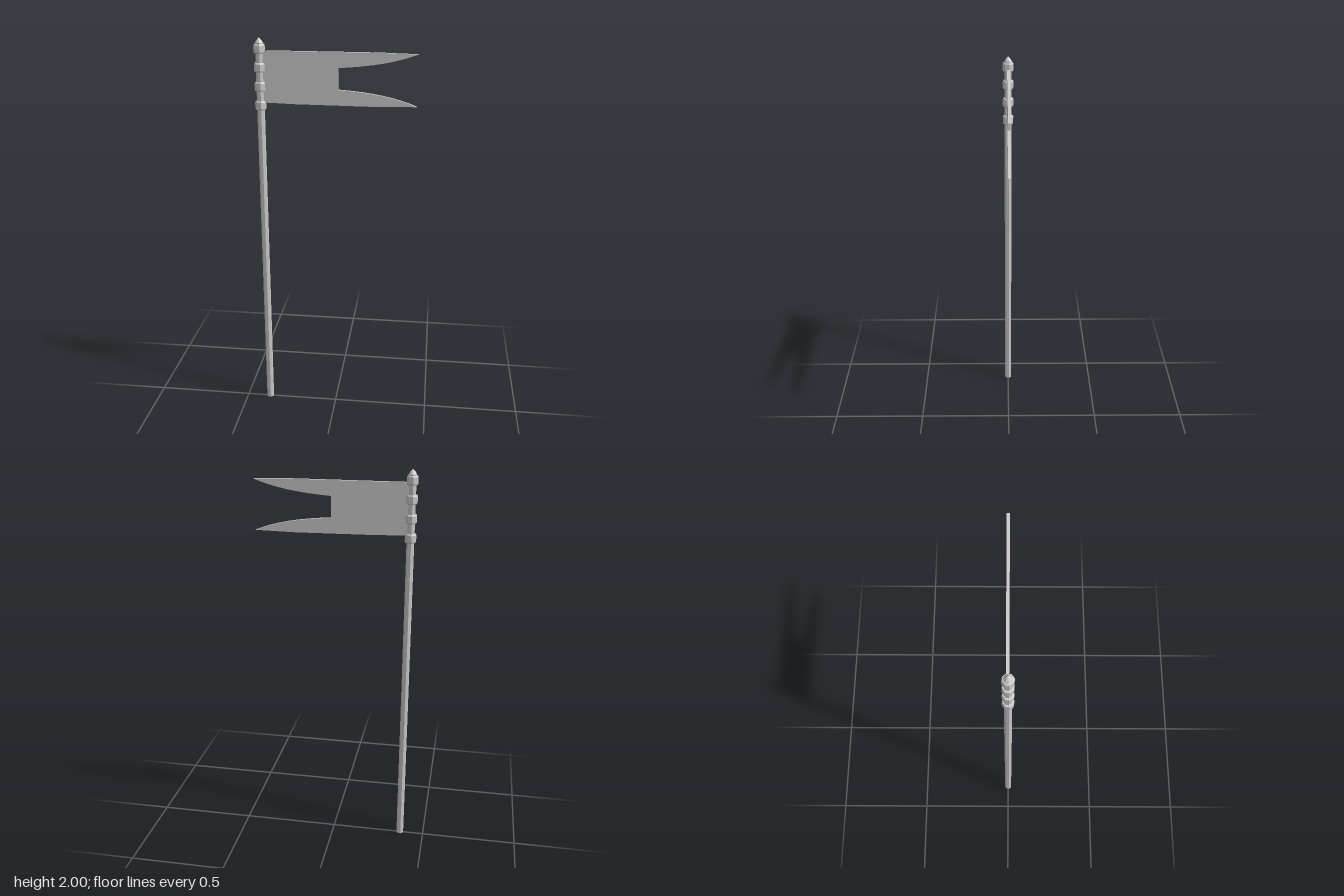
import * as THREE from 'three';

const POLE_X = -0.373;
const SIDES = 8;

export function createModel() {
  const group = new THREE.Group();
  const material = new THREE.MeshStandardMaterial({ color: 0xcccccc, flatShading: true });

  // Turned part around the pole axis, from [radius, height] pairs
  const turned = (name, profile, y = 0) => {
    const points = profile.map(([r, h]) => new THREE.Vector2(r, h));
    const mesh = new THREE.Mesh(new THREE.LatheGeometry(points, SIDES, 0.25), material);
    mesh.name = name;
    mesh.position.set(POLE_X, y, 0);
    group.add(mesh);
  };

  turned('pole', [[0, 0], [0.019, 0], [0.019, 1.95], [0, 1.95]]);

  // Bevelled rings holding the flag
  [1.671, 1.764, 1.857, 1.947].forEach((y, i) => turned(`ring${i + 1}`, [
    [0.018, -0.023], [0.025, -0.022], [0.028, -0.016],
    [0.028, 0.016], [0.025, 0.022], [0.018, 0.023],
  ], y));

  // Pointed cap
  turned('finial', [[0, -0.005], [0.019, -0.005], [0.02, 0.006], [0.014, 0.016], [0.005, 0.027], [0, 0.031]], 1.969);

  // Swallow-tailed flag
  const s = new THREE.Shape();
  s.moveTo(POLE_X, 1.686);
  s.lineTo(-0.2, 1.681);
  s.lineTo(0.2, 1.678);
  s.lineTo(0.396, 1.682);
  s.quadraticCurveTo(0.25, 1.743, 0.013, 1.756);
  s.lineTo(0.013, 1.862);
  s.quadraticCurveTo(0.25, 1.876, 0.396, 1.933);
  s.lineTo(0.2, 1.938);
  s.lineTo(POLE_X, 1.938);
  const flag = new THREE.Mesh(
    new THREE.ExtrudeGeometry(s, { depth: 0.014, bevelEnabled: false, curveSegments: 8 }), material);
  flag.name = 'flag';
  flag.position.z = -0.009;
  group.add(flag);

  return group;
}
